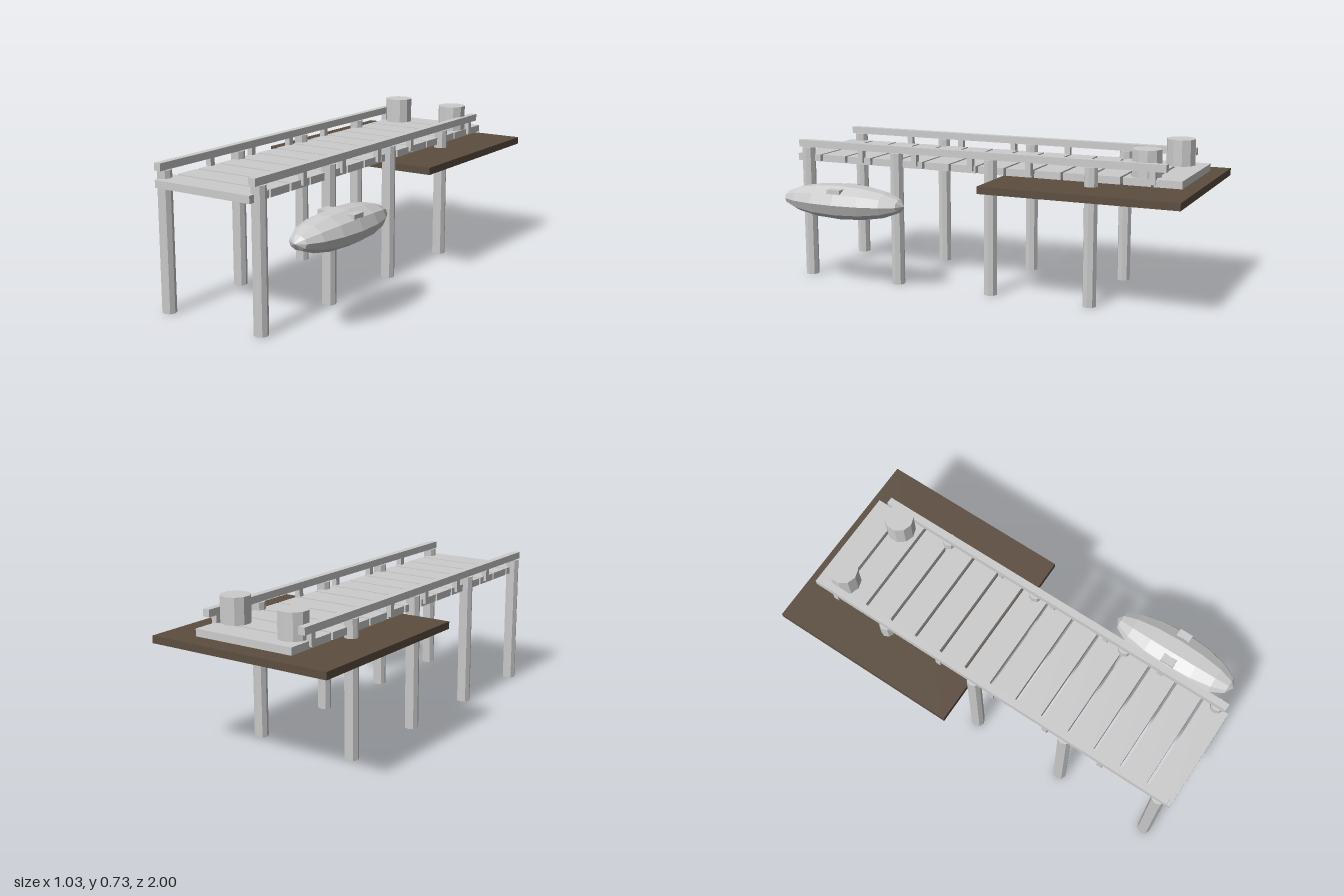
import * as THREE from 'three';

export function createModel() {
  const model = new THREE.Group();
  model.name = 'pier';

  const wood = new THREE.MeshStandardMaterial({ color: 0xcccccc, flatShading: true });
  wood.name = 'pale wood';
  const earth = new THREE.MeshStandardMaterial({ color: 0x5c4d3f, flatShading: true });
  earth.name = 'brown earth';

  const add = (name, geometry, material, x, y, z, parent = model) => {
    const mesh = new THREE.Mesh(geometry, material);
    mesh.name = name;
    mesh.position.set(x, y, z);
    parent.add(mesh);
    return mesh;
  };

  // Bank under the landward end
  add('bank', new THREE.BoxGeometry(0.93, 0.034, 0.93), earth, -0.05, 0.538, -0.535);

  // Deck of separate planks
  const deck = new THREE.Group();
  deck.name = 'deck';
  model.add(deck);
  const plank = new THREE.BoxGeometry(0.512, 0.034, 0.127);
  for (let i = 0; i < 14; i++) {
    add('plank', plank, wood, -0.049, 0.59, 0.936 - i * 0.1402, deck);
  }

  // Posts, rails and rail supports, the same on both sides
  const post = new THREE.CylinderGeometry(0.0325, 0.0325, 0.643, 8);
  const rail = new THREE.BoxGeometry(0.034, 0.034, 1.866);
  const support = new THREE.BoxGeometry(0.027, 0.06, 0.027);
  for (const side of [-1, 1]) {
    const x = -0.049 + side * 0.256;
    for (let i = 0; i < 4; i++) {
      add('post', post, wood, x, 0.3215, 0.938 - i * 0.491);
    }
    add('rail', rail, wood, x, 0.66, 0.05);
    for (let i = 0; i < 7; i++) {
      add('railSupport', support, wood, x, 0.614, 0.932 - i * 0.292);
    }
  }

  // Barrels at the landward end
  const barrel = new THREE.CylinderGeometry(0.069, 0.069, 0.125, 10);
  add('leftBarrel', barrel, wood, 0.138, 0.6675, -0.77);
  add('rightBarrel', barrel, wood, -0.222, 0.6675, -0.828);

  // Boat hull with its poles at bow and stern, and a cross seat
  const boat = new THREE.Group();
  boat.name = 'boat';
  boat.position.set(0.395, 0.427, 0.632);
  model.add(boat);
  const hull = new THREE.SphereGeometry(1, 10, 8).rotateX(Math.PI / 2).scale(0.117, 0.084, 0.323);
  add('hull', hull, wood, 0, 0, 0, boat);
  add('seat', new THREE.BoxGeometry(0.186, 0.025, 0.068), wood, 0, 0.057, 0, boat);

  return model;
}
